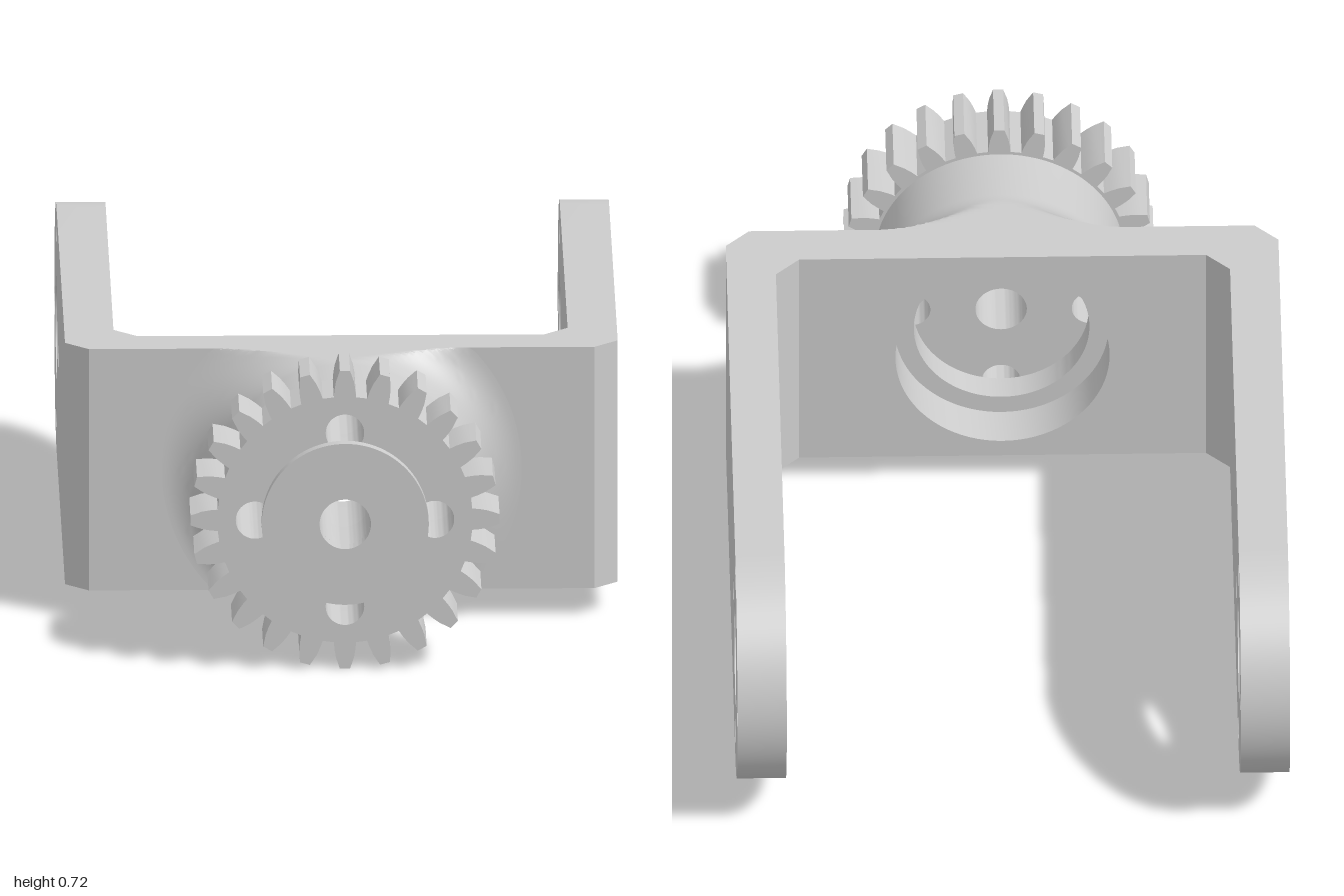
import * as THREE from 'three';
import { toCreasedNormals } from 'three/addons/utils/BufferGeometryUtils.js';

const HALF = 0.2925;     // half height of the bracket
const AXIS_Y = 0.365;    // height of the gear axis
const ARM_IN = 0.53, ARM_OUT = 0.645;

const material = new THREE.MeshStandardMaterial({ color: 0xcccccc });

function mesh(name, geometry) {
  const m = new THREE.Mesh(toCreasedNormals(geometry, 0.5), material);
  m.name = name;
  return m;
}

function extrude(shape, depth) {
  return new THREE.ExtrudeGeometry(shape, { depth, bevelEnabled: false, curveSegments: 40 });
}

function addHole(shape, x, y, r) {
  shape.holes.push(new THREE.Path().absarc(x, y, r, 0, Math.PI * 2, true));
}

// A centre hole with four smaller ones around it
function addHolePattern(shape, cx, centreR, ringR, smallR) {
  addHole(shape, cx, 0, centreR);
  for (let i = 0; i < 4; i++) {
    const a = i * Math.PI / 2;
    addHole(shape, cx + ringR * Math.cos(a), ringR * Math.sin(a), smallR);
  }
}

// Revolve a profile of [radius, z] around the z axis
function lathe(profile) {
  const points = profile.map(([r, z]) => new THREE.Vector2(r, z));
  return new THREE.LatheGeometry(points, 128).rotateX(Math.PI / 2);
}

function armGeometry() {
  const s = new THREE.Shape();
  s.moveTo(-0.355, -HALF);
  s.lineTo(0.7075, -HALF);
  s.absarc(0.7075, 0, HALF, -Math.PI / 2, Math.PI / 2, false);
  s.lineTo(-0.355, HALF);
  s.closePath();
  addHolePattern(s, 0.7075, 0.12, 0.225, 0.035);
  return extrude(s, ARM_OUT - ARM_IN).rotateY(Math.PI / 2);
}

function cornerGeometry(side) {
  const outline = [[ARM_IN, 0.355], [ARM_OUT, 0.355], [ARM_OUT, 0.465],
    [0.59, 0.52], [0.475, 0.52], [0.475, 0.41]];
  const s = new THREE.Shape(outline.map(([x, z]) => new THREE.Vector2(side * x, z)));
  return extrude(s, 2 * HALF).rotateX(Math.PI / 2).translate(0, HALF, 0);
}

function plateGeometry() {
  const w = 0.475;
  const s = new THREE.Shape([[-w, -HALF], [w, -HALF], [w, HALF], [-w, HALF]]
    .map(([x, y]) => new THREE.Vector2(x, y)));
  addHole(s, 0, 0, 0.25);
  return extrude(s, 0.11).translate(0, 0, 0.41);
}

// Stepped recess inside, flared fillet outside, trimmed level with the bracket
function neckGeometry() {
  const profile = [[0.28, 0.59], [0.205, 0.59], [0.205, 0.52], [0.25, 0.52]];
  const steps = 20, R = 0.13;
  for (let i = 0; i <= steps; i++) {
    const t = (i / steps) * Math.PI / 2;
    profile.push([0.42 - R * Math.sin(t), 0.65 - R * Math.cos(t)]);
  }
  profile.push([0.29, 0.805]);
  const g = lathe(profile);
  const p = g.attributes.position;
  for (let i = 0; i < p.count; i++) {
    p.setY(i, THREE.MathUtils.clamp(p.getY(i), -HALF, HALF));
  }
  return g;
}

function floorGeometry() {
  const s = new THREE.Shape().absarc(0, 0, 0.285, 0, Math.PI * 2, false);
  addHolePattern(s, 0, 0.06, 0.21, 0.045);
  return extrude(s, 0.215).translate(0, 0, 0.59);
}

function gearGeometry() {
  const teeth = 24;
  // Half of a tooth as [radius, half width], root to tip
  const flank = [[0.298, 0.026], [0.315, 0.0245], [0.335, 0.021], [0.352, 0.015], [0.361, 0.012]];
  const tooth = [
    ...flank.map(([r, w]) => [r, -w]),
    ...flank.slice().reverse(),
  ];
  const points = [];
  for (let i = 0; i < teeth; i++) {
    const a = (i / teeth) * Math.PI * 2;
    for (const [r, w] of tooth) {
      const b = a + w / r;
      points.push(new THREE.Vector2(r * Math.cos(b), r * Math.sin(b)));
    }
  }
  const s = new THREE.Shape(points);
  addHolePattern(s, 0, 0.06, 0.21, 0.045);
  return extrude(s, 0.155).translate(0, 0, 0.805);
}

export function createModel() {
  const model = new THREE.Group();
  model.name = 'gearedBracket';

  const body = new THREE.Group();
  body.name = 'body';
  body.position.y = AXIS_Y;
  model.add(body);

  // U-shaped bracket
  body.add(mesh('plate', plateGeometry()));
  for (const [side, label] of [[1, 'left'], [-1, 'right']]) {
    const arm = mesh(label + 'Arm', armGeometry());
    arm.position.x = side > 0 ? ARM_IN : -ARM_OUT;
    body.add(arm, mesh(label + 'Corner', cornerGeometry(side)));
  }

  // Neck, gear and front hub
  body.add(mesh('neck', neckGeometry()));
  body.add(mesh('neckFloor', floorGeometry()));
  body.add(mesh('gear', gearGeometry()));
  body.add(mesh('hub', lathe([[0.06, 0.96], [0.19, 0.96], [0.19, 0.972],
    [0.195, 0.972], [0.195, 1], [0.06, 1], [0.06, 0.96]])));

  return model;
}
